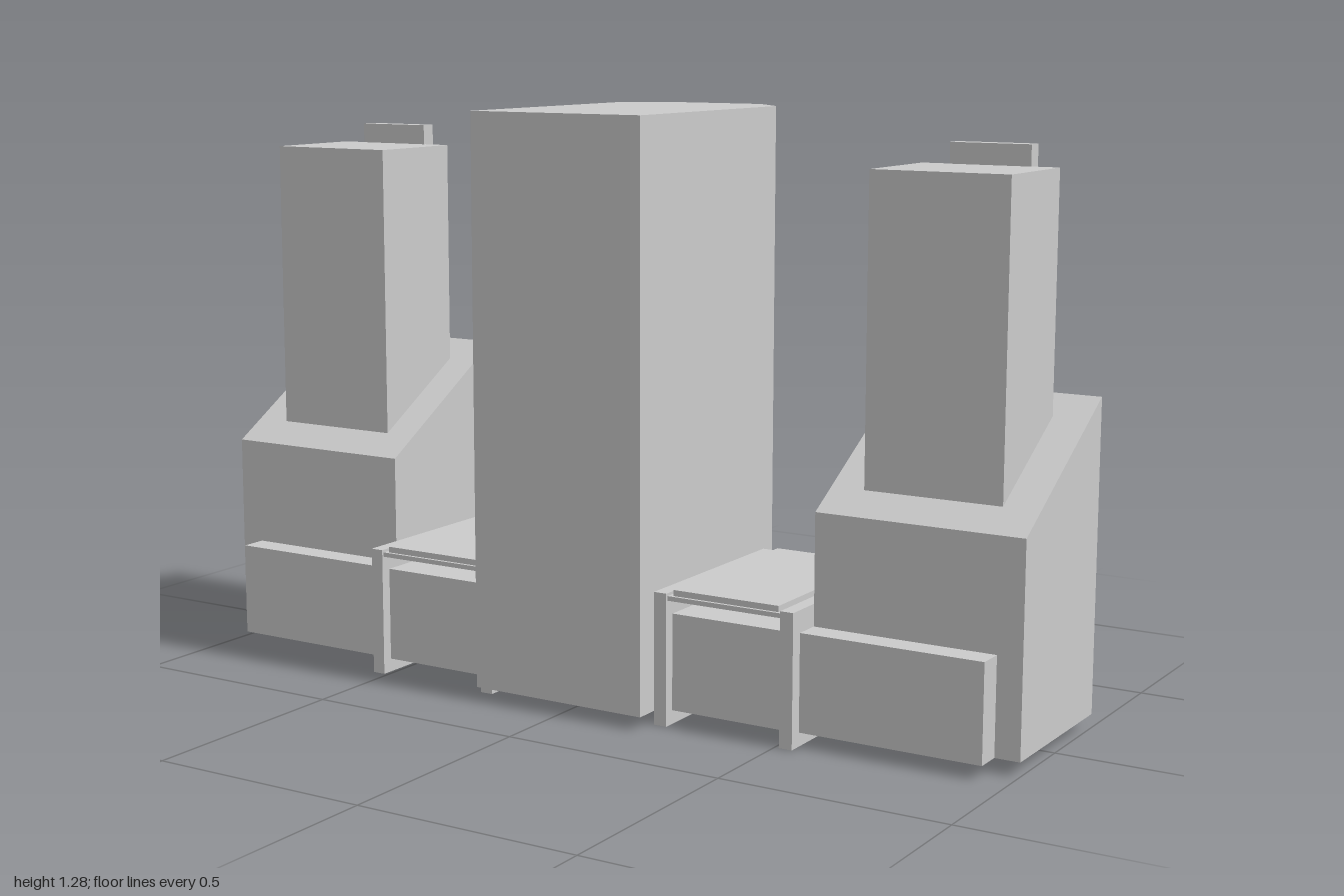
import * as THREE from 'three';

const material = new THREE.MeshStandardMaterial({ color: 0xcccccc, flatShading: true });

function addMesh(parent, name, geometry) {
  const mesh = new THREE.Mesh(geometry, material);
  mesh.name = name;
  parent.add(mesh);
  return mesh;
}

// Box given by its limits on each axis
function box(parent, name, [x0, x1], [y0, y1], [z0, z1]) {
  const mesh = addMesh(parent, name, new THREE.BoxGeometry(x1 - x0, y1 - y0, z1 - z0));
  mesh.position.set((x0 + x1) / 2, (y0 + y1) / 2, (z0 + z1) / 2);
  return mesh;
}

function polygon(points) {
  return new THREE.Shape(points.map(([x, y]) => new THREE.Vector2(x, y)));
}

// Horizontal plan of [x, z] points, raised from y0 to y1
function prismUp(parent, name, plan, y0, y1) {
  const shape = polygon(plan.map(([x, z]) => [x, -z]));
  const geometry = new THREE.ExtrudeGeometry(shape, { depth: y1 - y0, bevelEnabled: false });
  geometry.rotateX(-Math.PI / 2).translate(0, y0, 0);
  return addMesh(parent, name, geometry);
}

// Side profile of [z, y] points, stretched from x0 to x1
function prismAcross(parent, name, profile, x0, x1) {
  const shape = polygon(profile.map(([z, y]) => [-z, y]));
  const geometry = new THREE.ExtrudeGeometry(shape, { depth: x1 - x0, bevelEnabled: false });
  geometry.rotateY(Math.PI / 2).translate(x0, 0, 0);
  return addMesh(parent, name, geometry);
}

// Main tower: chamfered back, with a flat recess part-way up
function createCentralTower() {
  const tower = new THREE.Group();
  tower.name = 'centralTower';
  const flat = [[-0.21, 0.325], [0.21, 0.325], [0.21, -0.24], [-0.21, -0.24]];
  const chamfered = [[-0.21, 0.325], [0.21, 0.325], [0.21, -0.24],
    [0.125, -0.325], [-0.125, -0.325], [-0.21, -0.24]];
  prismUp(tower, 'lowerTower', chamfered, 0.03, 0.62);
  prismUp(tower, 'recessedTower', flat, 0.62, 1.04);
  prismUp(tower, 'upperTower', chamfered, 1.04, 1.28);
  return tower;
}

// Wing: sloped base, low front block, tower and rear fin
function createWing(side) {
  const wing = new THREE.Group();
  wing.name = side + 'Wing';
  prismAcross(wing, 'slopedBase', [[0.18, 0.03], [-0.2, 0.03], [-0.2, 0.705], [0.18, 0.48]], 0.54, 1);
  box(wing, 'frontBlock', [0.54, 0.945], [0.03, 0.24], [0.17, 0.24]);
  box(wing, 'wingTower', [0.615, 0.92], [0.5, 1.175], [-0.135, 0.11]);
  box(wing, 'rearFin', [0.68, 0.86], [0.5, 1.22], [-0.165, -0.13]);
  return wing;
}

// Entrance link: side walls, inset body, raised roof and rear doorway
function createLink(side) {
  const link = new THREE.Group();
  link.name = side + 'Link';
  for (const x of [0.21, 0.51]) {
    box(link, 'sideWall', [x, x + 0.03], [0, 0.288], [-0.2, 0.27]);
  }
  box(link, 'roof', [0.24, 0.51], [0.272, 0.282], [-0.2, 0.265]);
  box(link, 'roofPanel', [0.25, 0.5], [0.282, 0.295], [-0.195, 0.258]);

  // Body with a notch for the doors at the back
  const backZ = -0.165, doorZ = -0.15;
  box(link, 'body', [0.24, 0.51], [0.03, 0.24], [doorZ, 0.245]);
  const wall = polygon([[0.24, 0.03], [0.31, 0.03], [0.31, 0.12], [0.44, 0.12],
    [0.44, 0.03], [0.51, 0.03], [0.51, 0.24], [0.24, 0.24]]);
  const wallGeometry = new THREE.ExtrudeGeometry(wall, { depth: doorZ - backZ, bevelEnabled: false });
  addMesh(link, 'rearWall', wallGeometry.translate(0, 0, backZ));
  for (const x of [0.315, 0.378]) {
    box(link, 'doorLeaf', [x, x + 0.057], [0.03, 0.116], [doorZ - 0.006, doorZ]);
  }
  box(link, 'doorCanopy', [0.3, 0.45], [0.12, 0.135], [backZ - 0.018, backZ]);
  return link;
}

export function createModel() {
  const model = new THREE.Group();
  model.name = 'towerComplex';
  model.add(createCentralTower());
  for (const [side, sign] of [['left', 1], ['right', -1]]) {
    for (const part of [createWing(side), createLink(side)]) {
      // Every part is symmetric across its own width, so mirroring only moves it
      for (const mesh of part.children) {
        if (sign < 0) {
          mesh.geometry.computeBoundingBox();
          const { min, max } = mesh.geometry.boundingBox;
          mesh.geometry.translate(-(min.x + max.x), 0, 0);
          mesh.position.x *= -1;
        }
      }
      model.add(part);
    }
  }
  return model;
}
